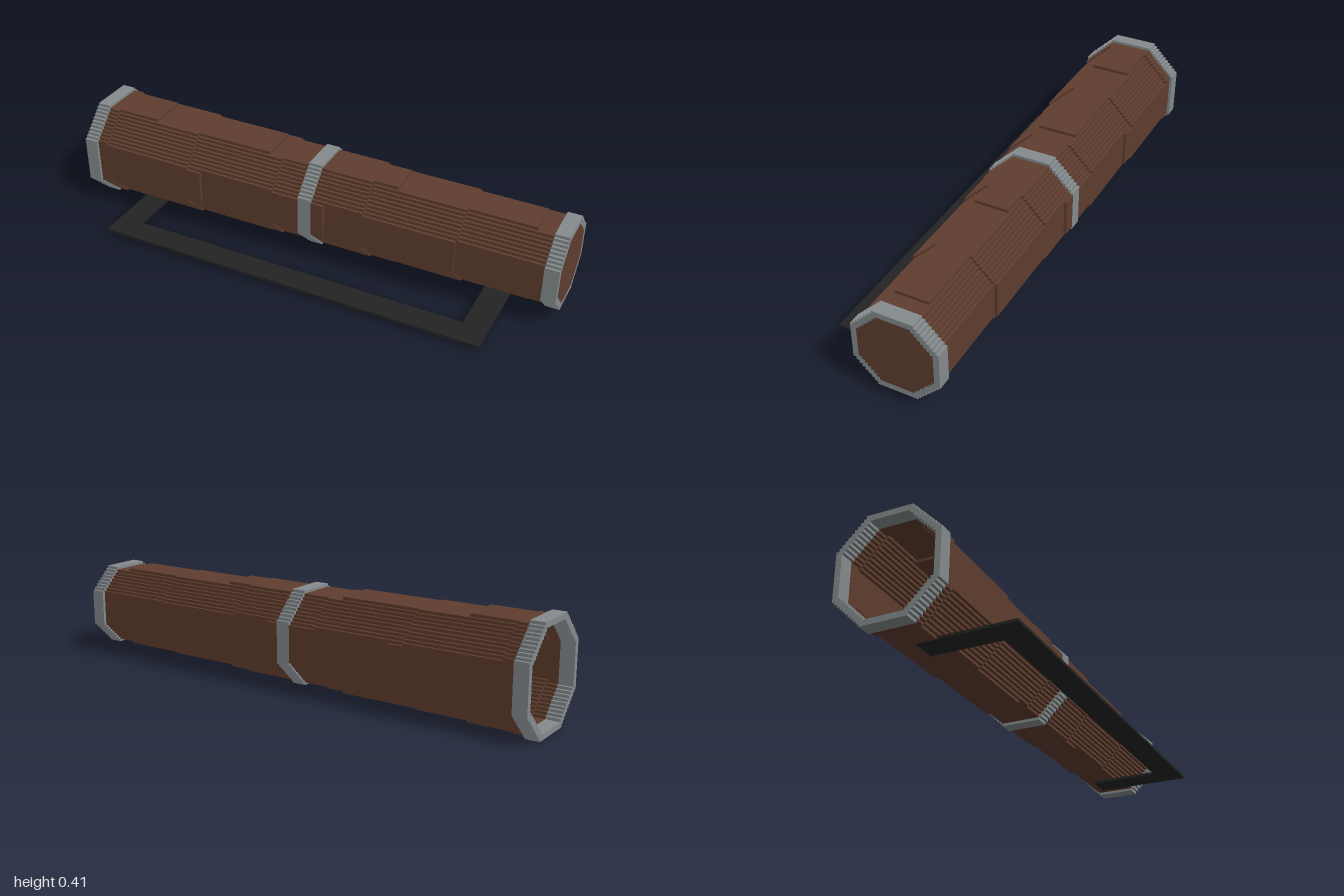
import * as THREE from 'three';

const U = 2 / 179;                 // cell size
const CY = 18.5 * U, CZ = -0.088;  // tube axis

const brown = new THREE.MeshStandardMaterial({ color: 0x5f3d2e });
brown.name = 'brown leather';
const grey = new THREE.MeshStandardMaterial({ color: 0x858c8e });
grey.name = 'grey metal';
const black = new THREE.MeshStandardMaterial({ color: 0x232323 });
black.name = 'black strap';

// Outline of an octagon with stepped diagonals; sizes in cells.
// hz, hy: half extents, d: limit of |z| + |y| on the diagonals.
function steppedOctagon({ hz, hy, d }) {
  const c = Math.round(hz + hy - d);
  const q = [];
  for (let i = 0; i <= c; i++) {
    q.push([hz - i, hy - c + i]);
    if (i < c) q.push([hz - i - 1, hy - c + i]);
  }
  const r = [...q].reverse();
  const all = [
    ...q,
    ...r.map(([x, y]) => [-x, y]),
    ...q.map(([x, y]) => [-x, -y]),
    ...r.map(([x, y]) => [x, -y]),
  ];
  return all.map(([x, y]) => new THREE.Vector2(x * U, y * U));
}

// Extrudes an octagon, hollow if an inner one is given, from x0 to x1.
function tube(name, material, x0, x1, outer, inner) {
  const shape = new THREE.Shape(steppedOctagon(outer));
  if (inner) shape.holes.push(new THREE.Path(steppedOctagon(inner)));
  const geo = new THREE.ExtrudeGeometry(shape, { depth: x1 - x0, bevelEnabled: false });
  geo.rotateY(Math.PI / 2);
  geo.translate(x0, CY, CZ);
  const mesh = new THREE.Mesh(geo, material);
  mesh.name = name;
  return mesh;
}

const shrink = (s) => ({ hz: s.hz - 1, hy: s.hy - 1, d: s.d - 2 });

export function createModel() {
  const group = new THREE.Group();
  group.name = 'quiver';

  // Tapering body: each kind of face steps in by one cell at its own places
  const stepsY = [-0.72, -0.2, 0.34, 0.88];
  const stepsZ = [-0.46, 0.08, 0.61];
  const stepsD = [-0.9, -0.52, -0.14, 0.24, 0.615];
  const passed = (steps, x) => steps.filter((s) => s < x).length;
  const sizeAt = (x) => ({
    hz: 17 - passed(stepsZ, x),
    hy: 17.5 - passed(stepsY, x),
    d: 25.5 - passed(stepsD, x),
  });

  const rim = 5 * U, band = 2.5 * U;
  const cuts = [-1 + rim, ...stepsY, ...stepsZ, ...stepsD, -band, band, 1 - rim]
    .sort((a, b) => a - b);
  const body = new THREE.Group();
  body.name = 'body';
  for (let i = 0; i < cuts.length - 1; i++) {
    const mid = (cuts[i] + cuts[i + 1]) / 2;
    if (Math.abs(mid) < band) continue; // the middle band sits here
    const size = sizeAt(mid);
    body.add(tube('bodySection', brown, cuts[i], cuts[i + 1], size, shrink(size)));
  }
  group.add(body);

  // Metal bands: open mouth, middle and closed end
  const floor = { hz: 13, hy: 12.5, d: 18.5 };
  group.add(
    tube('mouthBand', grey, -1, -1 + rim, { hz: 18, hy: 18.5, d: 26.5 }, { hz: 16, hy: 16.5, d: 23.5 }),
    tube('middleBand', grey, -band, band, { hz: 16, hy: 16.5, d: 23.5 }, shrink(sizeAt(0))),
    tube('endBand', grey, 1 - rim, 1, { hz: 15, hy: 14.5, d: 21.5 }, floor),
    tube('endCap', brown, 1 - 2 * U, 1, floor),
  );

  // Flat carrying strap: two arms under the body and one long bar
  const strap = new THREE.Group();
  strap.name = 'strap';
  const addBar = (name, x0, x1, z0, z1) => {
    const bar = new THREE.Mesh(new THREE.BoxGeometry(x1 - x0, U, z1 - z0), black);
    bar.position.set((x0 + x1) / 2, 1.5 * U - 0.0006, (z0 + z1) / 2);
    bar.name = name;
    strap.add(bar);
  };
  addBar('strapBar', -0.8, 0.8, 0.188, 0.288);
  addBar('strapArmRight', -0.8, -0.7, -0.09, 0.188);
  addBar('strapArmLeft', 0.7, 0.8, -0.09, 0.188);
  group.add(strap);

  return group;
}
